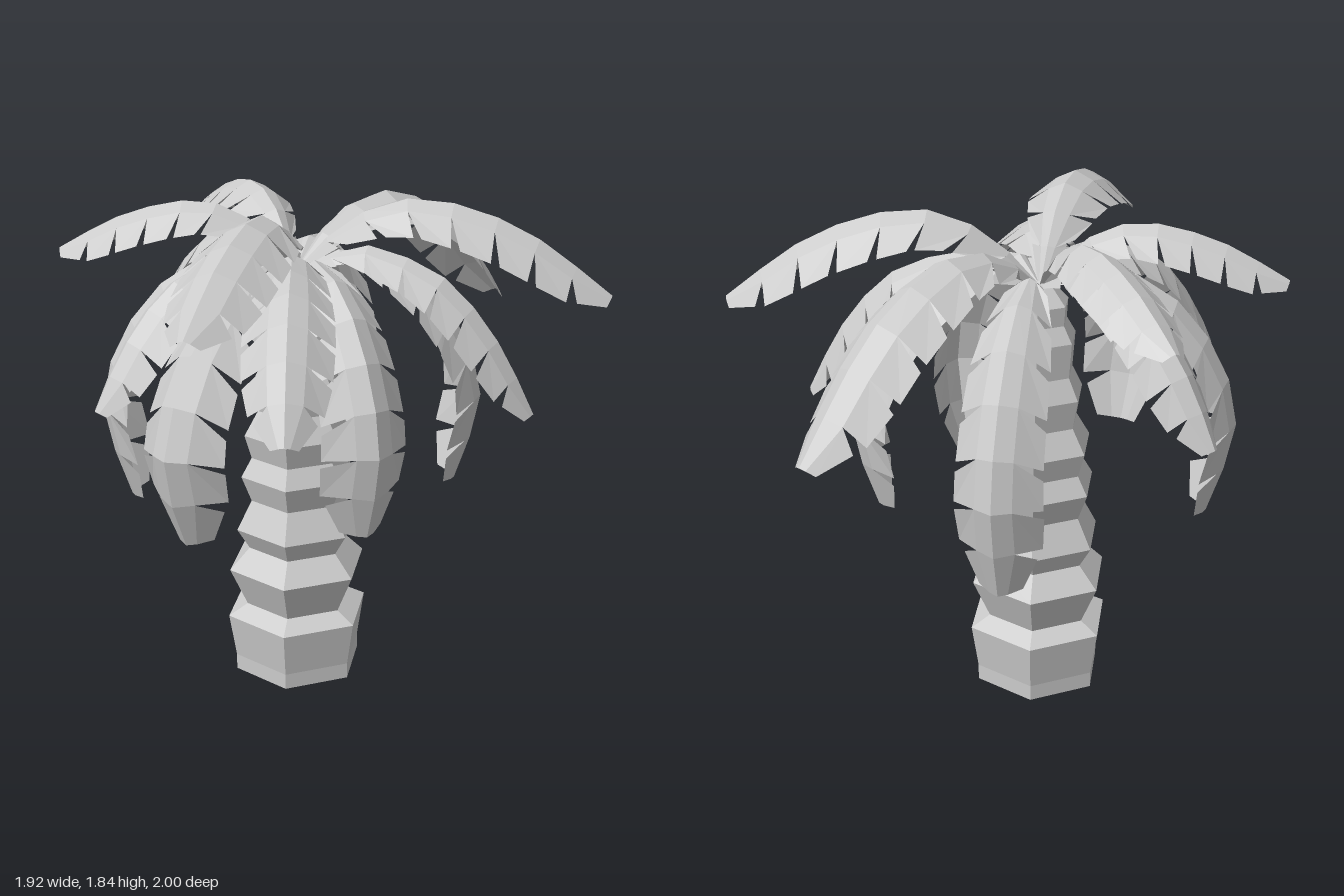
import * as THREE from 'three';

const AXIS_X = -0.12; // trunk axis
const STEM_Y = 1.55; // height where the fronds meet

const material = () => new THREE.MeshStandardMaterial({
  color: 0xcccccc, flatShading: true, side: THREE.DoubleSide,
});

// Trunk: six-sided rings flaring out and stepping back in, open below, [radius, height]
function trunk() {
  const profile = [
    [0.245, 0], [0.245, 0.06], [0.272, 0.23], [0.198, 0.27],
    [0.264, 0.42], [0.186, 0.5], [0.233, 0.58], [0.175, 0.69],
    [0.213, 0.79], [0.172, 0.86], [0.198, 0.95], [0.145, 1.04],
    [0.165, 1.15], [0.125, 1.23], [0.135, 1.36], [0.1, 1.42],
    [0.105, 1.49], [0.05, 1.55], [0, 1.57],
  ].map(([r, y]) => new THREE.Vector2(r, y));
  const g = new THREE.LatheGeometry(profile, 6, THREE.MathUtils.degToRad(9)).toNonIndexed();
  g.computeVertexNormals();
  const m = new THREE.Mesh(g, material());
  m.name = 'trunk';
  m.position.set(AXIS_X, 0, 0.01);
  return m;
}

// Half widths from stem to tip: tapering fronds and blunt hanging ones
const TAPERED = [0.012, 0.06, 0.115, 0.145, 0.165, 0.17, 0.165, 0.15, 0.05];
const BLUNT = [0.012, 0.06, 0.12, 0.15, 0.16, 0.165, 0.17, 0.175, 0.085];
const SEGMENTS = TAPERED.length - 1;

// Frond: a folded ridge along a 2D spine, with notched blades each side
function frond(spine, widths, scale) {
  const out = [];

  // Point at station s, a share of the half width to the side, sagging below the spine
  const at = (s, share, sag) => {
    s = Math.min(s, SEGMENTS);
    const i = Math.min(Math.floor(s), SEGMENTS - 1);
    const w = scale * THREE.MathUtils.lerp(widths[i], widths[i + 1], s - i);
    const p = spine.getPointAt(s / SEGMENTS);
    const t = spine.getTangentAt(s / SEGMENTS);
    const drop = w * sag;
    return [w * share, p.y - t.x * drop, p.x + t.y * drop];
  };
  const quad = (a, b, c, d) => out.push(...a, ...b, ...c, ...a, ...c, ...d);

  for (const side of [-1, 1]) {
    for (let i = 0; i < SEGMENTS; i++) {
      const ridgeA = at(i, 0, 0), ridgeB = at(i + 1, 0, 0);
      const midA = at(i, side * 0.42, 0.2), midB = at(i + 1, side * 0.42, 0.2);
      // Blades sweep toward the tip, leaving a wedge between neighbours
      const edgeA = at(i + 0.38, side, 0.68), edgeB = at(i + 1.15, side, 0.68);
      if (side > 0) {
        quad(ridgeA, midA, midB, ridgeB);
        quad(midA, edgeA, edgeB, midB);
      } else {
        quad(ridgeA, ridgeB, midB, midA);
        quad(midA, midB, edgeB, edgeA);
      }
    }
  }
  const g = new THREE.BufferGeometry();
  g.setAttribute('position', new THREE.Float32BufferAttribute(out, 3));
  g.computeVertexNormals();
  const m = new THREE.Mesh(g, material());
  m.name = 'frond';
  return m;
}

// Spine: rises from the stem to the top height, then falls to the tip along a curve
// of [share of reach, share of fall]
function makeSpine(reach, top, tip, curve) {
  const points = [
    [0, STEM_Y],
    [0.17 * reach, THREE.MathUtils.lerp(STEM_Y, top, 0.7)],
    ...curve.map(([r, fall]) => [r * reach, THREE.MathUtils.lerp(top, tip, fall)]),
  ];
  return new THREE.SplineCurve(points.map(([r, y]) => new THREE.Vector2(r, y)));
}

// Three frond habits; each frond is [reach in x, reach in z, top height, tip height, width scale]
const HABITS = [
  { // high arching
    widths: TAPERED,
    curve: [[0.4, 0], [0.71, 0.3], [1, 1]],
    fronds: [
      [0.5, -1, 1.76, 1.24, 1], [1.08, -0.25, 1.82, 1.49, 1], [0, 1, 1.84, 1.61, 1],
      [-0.84, 0.16, 1.79, 1.6, 0.85], [-0.6, -0.62, 1.79, 1.6, 0.8],
    ],
  },
  { // half drooping
    widths: TAPERED,
    curve: [[0.3, 0], [0.61, 0.16], [0.84, 0.54], [1, 1]],
    fronds: [
      [0.86, -0.06, 1.66, 1.09, 0.85], [0.29, 0.92, 1.68, 1.27, 0.9],
      [-0.5, 0.62, 1.66, 1.18, 0.8], [-0.7, -0.38, 1.66, 1.18, 0.8],
    ],
  },
  { // fully drooping, tips curling back in
    widths: BLUNT,
    curve: [[0.35, 0], [0.69, 0.15], [0.92, 0.4], [1, 0.66], [0.87, 1]],
    fronds: [
      [0.62, -0.26, 1.63, 0.74, 0.95], [0.45, 0.44, 1.63, 0.74, 0.95],
      [-0.17, 0.8, 1.63, 0.77, 0.95], [-0.68, 0.2, 1.63, 0.68, 0.95],
      [-0.03, -0.7, 1.64, 0.65, 0.9],
    ],
  },
];

export function createModel() {
  const model = new THREE.Group();
  model.name = 'palmTree';
  model.add(trunk());

  const crown = new THREE.Group();
  crown.name = 'crown';
  crown.position.x = AXIS_X;
  for (const { widths, curve, fronds } of HABITS) {
    for (const [x, z, top, tip, scale] of fronds) {
      const f = frond(makeSpine(Math.hypot(x, z), top, tip, curve), widths, scale);
      f.rotation.y = Math.atan2(x, z);
      crown.add(f);
    }
  }
  model.add(crown);
  return model;
}
